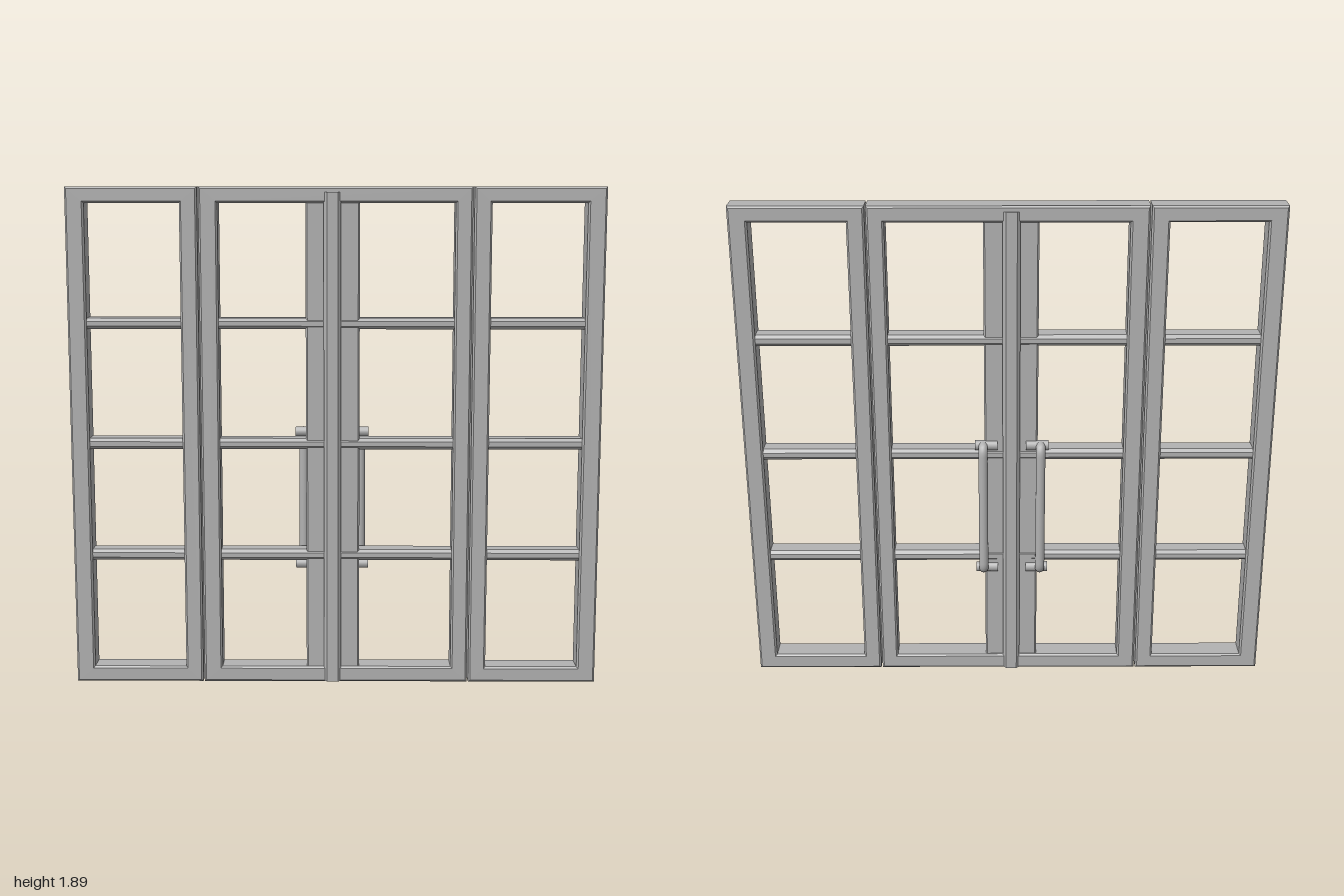
import * as THREE from 'three';

const metal = new THREE.MeshStandardMaterial({ color: 0xb2b2b2 });
metal.name = 'grey metal';

const HEIGHT = 1.89, BACK = -0.038, FRONT = 0.06, BEVEL = 0.007;

function rectPath(path, x0, y0, x1, y1) {
  path.moveTo(x0, y0);
  path.lineTo(x1, y0);
  path.lineTo(x1, y1);
  path.lineTo(x0, y1);
  path.closePath();
  return path;
}

function addMesh(parent, name, geometry) {
  const mesh = new THREE.Mesh(geometry, metal);
  mesh.name = name;
  parent.add(mesh);
  return mesh;
}

// Rectangular frame with one opening and bevelled edges
function frame(x0, x1, open0, open1) {
  const b = BEVEL;
  const shape = rectPath(new THREE.Shape(), x0 + b, b, x1 - b, HEIGHT - b);
  shape.holes.push(rectPath(new THREE.Path(), open0 - b, 0.06 - b, open1 + b, 1.83 + b));
  const g = new THREE.ExtrudeGeometry(shape, {
    depth: FRONT - BACK - 2 * b, bevelEnabled: true, bevelSize: b, bevelThickness: b, bevelSegments: 1,
  });
  return g.translate(0, 0, BACK + b);
}

// Straight bar of chamfered section, standing along y from 0 to length
function chamferedBar(width, depth, length, c) {
  const w = width / 2, d = depth / 2;
  const s = new THREE.Shape([
    [-w + c, -d], [w - c, -d], [w, -d + c], [w, d - c],
    [w - c, d], [-w + c, d], [-w, d - c], [-w, -d + c],
  ].map(([x, y]) => new THREE.Vector2(x, y)));
  return new THREE.ExtrudeGeometry(s, { depth: length, bevelEnabled: false }).rotateX(-Math.PI / 2);
}

export function createModel() {
  const group = new THREE.Group();
  group.name = 'doubleDoor';

  // Outer frames: fixed side panels and the middle door opening
  const panels = [
    ['rightSidePanel', -1, -0.512, -0.93, -0.578],
    ['doorFrame', -0.507, 0.507, -0.437, 0.443],
    ['leftSidePanel', 0.512, 1, 0.578, 0.93],
  ];
  for (const [name, x0, x1, open0, open1] of panels) {
    const panel = new THREE.Group();
    panel.name = name;
    group.add(panel);
    addMesh(panel, 'frame', frame(x0, x1, open0, open1));

    // Horizontal glazing bars
    for (const y of [0.5, 0.93, 1.385]) {
      const length = open1 - open0 + 0.01;
      const bar = addMesh(panel, 'glazingBar', chamferedBar(0.042, 0.084, length, 0.012));
      bar.rotation.z = -Math.PI / 2;
      bar.position.set(open0 - 0.005, y, 0.011);
    }
  }

  // Meeting posts of the two doors
  for (const [name, x] of [['rightDoorPost', -0.062], ['leftDoorPost', 0.04]]) {
    const post = addMesh(group, name, chamferedBar(0.1, 0.076, 1.8, 0.006));
    post.position.set(x, 0.045, 0.011);
  }

  // Cover strip over the joint
  const strip = addMesh(group, 'coverStrip', chamferedBar(0.065, 0.114, 1.867, 0.012));
  strip.position.set(-0.012, 0.003, 0.011);

  // Pull handles on the back
  const r = 0.018;
  for (const [name, x, out] of [['rightHandle', -0.123, -1], ['leftHandle', 0.095, 1]]) {
    const handle = new THREE.Group();
    handle.name = name;
    handle.position.x = x;
    group.add(handle);
    const path = new THREE.CurvePath();
    const p = (y, z) => new THREE.Vector3(0, y, z);
    path.add(new THREE.LineCurve3(p(0.452, -0.02), p(0.452, -0.032)));
    path.add(new THREE.QuadraticBezierCurve3(p(0.452, -0.032), p(0.454, -0.054), p(0.485, -0.054)));
    path.add(new THREE.LineCurve3(p(0.485, -0.054), p(0.935, -0.054)));
    path.add(new THREE.QuadraticBezierCurve3(p(0.935, -0.054), p(0.966, -0.054), p(0.968, -0.032)));
    path.add(new THREE.LineCurve3(p(0.968, -0.032), p(0.968, -0.02)));
    addMesh(handle, 'grip', new THREE.TubeGeometry(path, 80, r, 14, false));
    for (const y of [0.452, 0.968]) {
      const mount = addMesh(handle, 'mount', new THREE.CylinderGeometry(0.019, 0.019, 0.085, 16));
      mount.rotation.z = Math.PI / 2;
      mount.position.set(-out * 0.0125, y, -0.022);
    }
  }
  return group;
}
